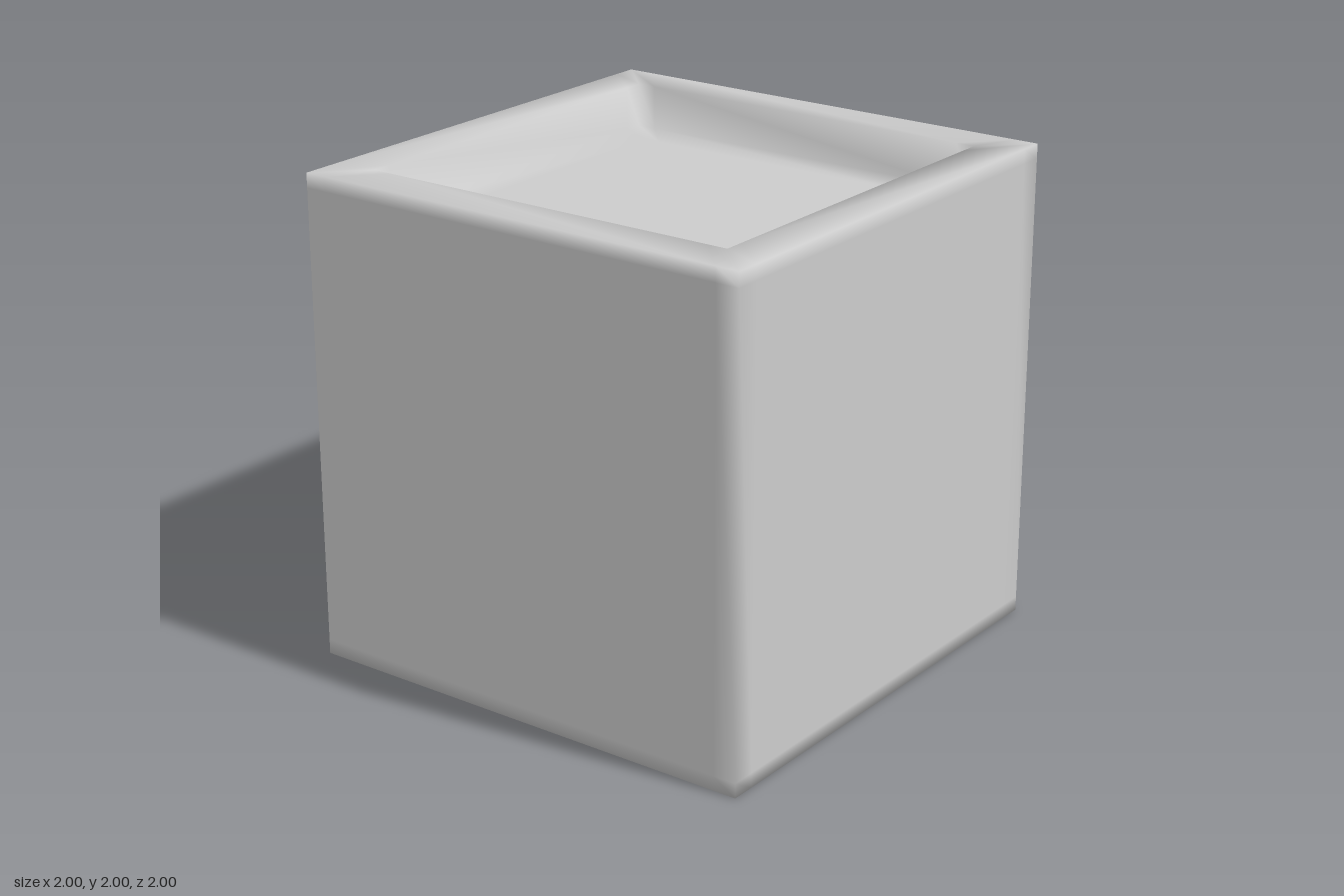
import * as THREE from 'three';

// Square rings (half width, height) from the top recess floor, over the rim,
// down the outside and into the bottom recess
const rings = [
  [0, 1.82], [0.66, 1.82], [0.82, 1.82], [0.82, 2], [1, 2], [1, 1.94],
  [1, 0.06], [1, 0], [0.82, 0], [0.82, 0.18], [0.66, 0.18], [0, 0.18],
];

// Outline of a unit square, counter-clockwise from above, with support points near the corners
function squareOutline() {
  const corners = [[1, 1], [1, -1], [-1, -1], [-1, 1]];
  const points = [];
  corners.forEach(([x, z], i) => {
    const [nx, nz] = corners[(i + 1) % 4];
    for (const t of [0, 0.05, 0.95]) points.push([x + (nx - x) * t, z + (nz - z) * t]);
  });
  return points;
}

function recessedBlock() {
  const outline = squareOutline();
  const n = outline.length;
  const positions = [];
  const index = [];
  rings.forEach(([half, y], r) => {
    outline.forEach(([x, z], i) => {
      positions.push(x * half, y, z * half);
      if (r === rings.length - 1) return;
      const a = r * n + i;
      const b = r * n + (i + 1) % n;
      index.push(a, a + n, b + n, a, b + n, b);
    });
  });
  const geometry = new THREE.BufferGeometry();
  geometry.setAttribute('position', new THREE.Float32BufferAttribute(positions, 3));
  geometry.setIndex(index);
  geometry.computeVertexNormals(); // shared corners give the soft edge shading
  return geometry;
}

export function createModel() {
  const group = new THREE.Group();
  group.name = 'recessedCube';
  const block = new THREE.Mesh(recessedBlock(), new THREE.MeshStandardMaterial({ color: 0xcccccc }));
  block.name = 'block';
  group.add(block);
  return group;
}
